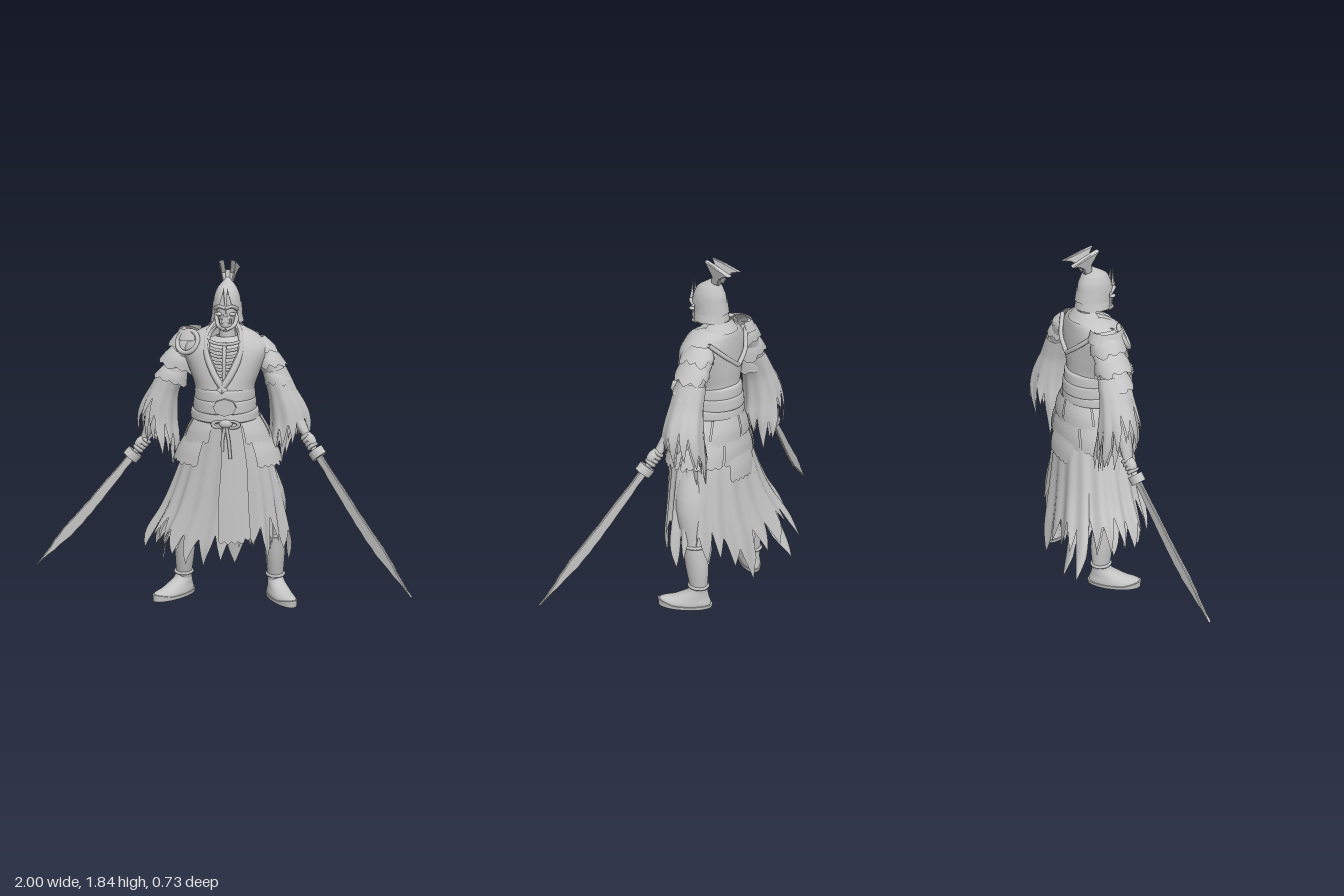
import * as THREE from 'three';
import { mergeVertices } from 'three/addons/utils/BufferGeometryUtils.js';

const gray = new THREE.MeshStandardMaterial({ color: 0xc4c4c4, side: THREE.DoubleSide });
gray.name = 'stone gray';
const V = (x, y, z) => new THREE.Vector3(x, y, z);
const TAU = Math.PI * 2;

function seeded(seed) {
  let s = seed * 7919 + 13;
  return () => ((s = (s * 16807) % 2147483647) / 2147483647);
}

function mesh(parent, name, geometry) {
  const m = new THREE.Mesh(geometry, gray);
  m.name = name;
  parent.add(m);
  return m;
}

// Surface through rings [x, y, z, rx, rz, slope]; angle 0 is the front, +90 degrees is +x.
// teeth and jag tear the lower edge, fold makes pleats, gap opens the front.
function loft(keys, o = {}) {
  const { n = 28, rows = 14, a0 = 0, a1 = TAU, teeth = 0, jag = 0, fold = 0, pleats = 16, seed = 1, len = () => 1, gap = () => 0, warp } = o;
  const rnd = seeded(seed);
  const cuts = Array.from({ length: teeth + 1 }, rnd);
  const mid = new THREE.CatmullRomCurve3(keys.map(k => V(k[0], k[1], k[2])));
  const rad = new THREE.CatmullRomCurve3(keys.map(k => V(k[3], k[4], k[5] || 0)));
  const pos = [], idx = [];
  for (let j = 0; j <= rows; j++) for (let i = 0; i <= n; i++) {
    const u = i / n, base = a0 + (a1 - a0) * u;
    let L = len(base);
    if (teeth) {
      const f = (u * teeth) % 1, k = Math.floor(u * teeth) % teeth;
      L -= jag * (0.45 * Math.abs(2 * f - 1) + 0.55 * cuts[k]);
    }
    const t = Math.max(0, Math.min(1, L * j / rows));
    const g = gap(t), a = g + base * (1 - g / Math.PI);
    const c = mid.getPoint(t), r = rad.getPoint(t);
    const w = 1 + fold * t * (Math.cos(a * pleats) + 0.5 * Math.sin(a * pleats * 0.5 + 1));
    const p = V(c.x + r.x * w * Math.sin(a), c.y + r.z * r.x * Math.sin(a), c.z + r.y * w * Math.cos(a));
    if (warp) warp(p, a, t);
    pos.push(p.x, p.y, p.z);
    if (i < n && j < rows) {
      const A = j * (n + 1) + i, B = A + n + 1;
      idx.push(A, B, A + 1, A + 1, B, B + 1);
    }
  }
  let geo = new THREE.BufferGeometry();
  geo.setAttribute('position', new THREE.Float32BufferAttribute(pos, 3));
  geo.setIndex(idx);
  geo = mergeVertices(geo, 1e-5);
  geo.computeVertexNormals();
  return geo;
}

const tube = (pts, r, seg = 16) => new THREE.TubeGeometry(new THREE.CatmullRomCurve3(pts.map(p => V(...p))), seg, r, 7);

function plate(points, depth, bevel) {
  const s = new THREE.Shape(points.map(p => new THREE.Vector2(...p)));
  const g = new THREE.ExtrudeGeometry(s, { depth, bevelEnabled: true, bevelThickness: bevel, bevelSize: bevel, bevelOffset: -bevel, bevelSegments: 1 });
  return g.translate(0, 0, -depth / 2);
}

function ball(parent, name, p, s) {
  const m = mesh(parent, name, new THREE.SphereGeometry(1, 16, 12));
  m.position.set(...p);
  m.scale.set(...s);
}

function sword(parent, name, guard, tip) {
  const g = new THREE.Group();
  g.name = name;
  const d = tip.clone().sub(guard), L = d.length();
  d.normalize();
  const n = d.clone().cross(V(0, 1, 0)).normalize();
  g.quaternion.setFromRotationMatrix(new THREE.Matrix4().makeBasis(d.clone().cross(n), d, n));
  g.position.copy(guard);
  // Nicked blade, widest past the middle
  const edge = [], spine = [], rnd = seeded(5);
  for (let i = 0; i <= 18; i++) {
    const t = i / 19, bow = 0.012 * Math.sin(t * Math.PI);
    const w = (0.021 + 0.013 * Math.sin(t * 2.3)) * Math.min(1, (1 - t) * 3 + 0.08);
    edge.push([bow + w - rnd() * 0.005, t * L]);
    spine.unshift([bow - w + rnd() * 0.005, t * L]);
  }
  mesh(g, 'blade', plate([...edge, [0, L], ...spine], 0.008, 0.004));
  mesh(g, 'guard', new THREE.CylinderGeometry(0.046, 0.046, 0.045, 12).scale(1, 1, 0.75));
  mesh(g, 'hilt', new THREE.CylinderGeometry(0.017, 0.017, 0.21, 10).translate(0, -0.1, 0));
  // Fist around the hilt
  for (let i = 0; i < 4; i++)
    mesh(g, 'finger', new THREE.TorusGeometry(0.023, 0.011, 6, 14).rotateX(Math.PI / 2).translate(0, -0.045 - i * 0.021, 0));
  ball(g, 'palm', [-0.01, -0.08, 0], [0.03, 0.045, 0.028]);
  parent.add(g);
}

function head(model) {
  const g = new THREE.Group();
  g.name = 'head';
  g.position.set(0.03, 0, 0);
  // Skull
  mesh(g, 'skull', loft([[0, 1.66, 0, 0.05, 0.07], [0, 1.6, 0.01, 0.056, 0.085], [0, 1.555, 0.02, 0.045, 0.08], [0, 1.51, 0.045, 0.032, 0.06], [0, 1.485, 0.055, 0.005, 0.01]]));
  for (const s of [-1, 1]) {
    ball(g, 'cheekbone', [s * 0.034, 1.575, 0.083], [0.018, 0.01, 0.018]);
    mesh(g, 'browRidge', tube([[0, 1.607, 0.105], [s * 0.03, 1.617, 0.098], [s * 0.058, 1.6, 0.06]], 0.01));
    mesh(g, 'jaw', tube([[s * 0.052, 1.57, 0.02], [s * 0.045, 1.52, 0.05], [0, 1.496, 0.105]], 0.011));
  }
  mesh(g, 'nose', new THREE.ConeGeometry(0.012, 0.04, 5).translate(0, 1.585, 0.098));
  for (let i = -3; i <= 3; i++)
    mesh(g, 'tooth', new THREE.BoxGeometry(0.007, 0.022, 0.008).translate(i * 0.009, 1.54, 0.1 - i * i * 0.0016));
  // Helmet bowl with neck guard
  mesh(g, 'helmetBowl', loft([[0, 1.75, -0.03, 0.006, 0.008], [0, 1.735, -0.025, 0.02, 0.03], [0, 1.7, -0.004, 0.05, 0.068], [0, 1.66, 0, 0.066, 0.088], [0, 1.61, 0.003, 0.073, 0.097]]));
  for (let i = 0; i < 2; i++)
    mesh(g, 'neckGuard', loft([[0, 1.63 - i * 0.045, -0.005, 0.074, 0.09], [0, 1.565 - i * 0.04, -0.01, 0.08 + i * 0.007, 0.095]], { a0: 0.85, a1: TAU - 0.85, rows: 4, teeth: 9, jag: 0.15 }));
  // Crescent brow ornament
  for (const s of [-1, 1])
    mesh(g, 'browHorn', new THREE.ConeGeometry(0.014, 0.11, 6).scale(1.3, 1, 0.7).rotateZ(s * 0.12).translate(s * 0.014, 1.66, 0.1));
  // Split crest swept backwards
  mesh(g, 'crestStem', new THREE.CylinderGeometry(0.014, 0.024, 0.07, 10).rotateX(-0.1).translate(0, 1.75, -0.045));
  for (const s of [-1, 1]) {
    const fan = mesh(g, 'crestFan', plate([[-0.025, 0], [-0.035, 0.05], [0, 0.12], [-0.06, 0.105], [-0.16, 0.07], [-0.12, 0.058], [-0.085, 0.035], [-0.07, 0]], 0.016, 0.005).rotateY(-Math.PI / 2));
    fan.position.set(s * 0.006, 1.722, 0);
    fan.rotation.set(0, -s * 0.16, -s * 0.2);
  }
  model.add(g);
}

function torso(model) {
  const g = new THREE.Group();
  g.name = 'torso';
  mesh(g, 'neck', new THREE.CylinderGeometry(0.035, 0.045, 0.16, 12).translate(0.03, 1.49, -0.01));
  mesh(g, 'innerBody', loft([[0.02, 1.45, -0.02, 0.05, 0.06], [0.02, 1.4, -0.01, 0.14, 0.09], [0.02, 1.25, 0, 0.13, 0.1], [0.02, 1, 0, 0.13, 0.12]]));
  mesh(g, 'breastbone', tube([[0.025, 1.43, 0.09], [0.025, 1.35, 0.125], [0.025, 1.24, 0.135]], 0.011));
  for (let i = 0; i < 6; i++) for (const s of [-1, 1]) {
    const y = 1.42 - i * 0.032;
    mesh(g, 'rib', tube([[0.025, y, 0.1 + i * 0.006], [0.025 + s * 0.05, y + 0.008, 0.1 + i * 0.006], [0.025 + s * 0.1, y + 0.02, 0.06]], 0.009, 8));
  }
  // Robe open in a deep V
  mesh(g, 'robe', loft([[0.02, 1.51, -0.04, 0.06, 0.065], [0.02, 1.465, -0.025, 0.16, 0.11], [0.02, 1.39, -0.01, 0.22, 0.135], [0.02, 1.28, 0.005, 0.185, 0.155], [0.02, 1.18, 0.015, 0.155, 0.165], [0.02, 1.03, 0.015, 0.165, 0.175]], { n: 48, rows: 24, gap: t => Math.max(0, 0.75 * (1 - t / 0.72)) }));
  for (const s of [-1, 1]) {
    mesh(g, 'lapel', tube([[0.02 + s * 0.05, 1.51, -0.05], [0.02 + s * 0.085, 1.46, 0.05], [0.02 + s * 0.085, 1.38, 0.105], [0.02 + s * 0.045, 1.28, 0.155], [0.02 - s * 0.015, 1.19, 0.18]], 0.018));
    mesh(g, 'backStrap', tube([[0.02 + s * 0.16, 1.45, -0.1], [0.02 + s * 0.08, 1.37, -0.155], [0.02, 1.31, -0.17]], 0.012));
  }
  mesh(g, 'backCollar', loft([[0.02, 1.53, -0.05, 0.07, 0.055], [0.02, 1.48, -0.04, 0.11, 0.1]], { a0: 1.4, a1: TAU - 1.4, rows: 4 }));
  // Waist bands, buckle and knot
  [[1.2, 0.07, 0.155, 0.175], [1.145, 0.075, 0.162, 0.185], [1.085, 0.06, 0.176, 0.182]].forEach(([y, h, rx, rz]) =>
    mesh(g, 'waistBand', loft([[0.02, y, 0.012, rx - 0.012, rz - 0.012], [0.02, y - 0.012, 0.012, rx, rz], [0.02, y - h + 0.01, 0.012, rx + 0.004, rz + 0.004], [0.02, y - h, 0.012, rx - 0.012, rz - 0.012]], { n: 40 })));
  mesh(g, 'buckle', new THREE.CylinderGeometry(0.06, 0.06, 0.025, 8).rotateX(Math.PI / 2).scale(1, 0.75, 1).translate(0.035, 1.115, 0.195));
  ball(g, 'knot', [0.04, 1.03, 0.2], [0.035, 0.022, 0.02]);
  for (const s of [-1, 1]) {
    mesh(g, 'knotLoop', new THREE.TorusGeometry(0.022, 0.008, 6, 14).scale(1.4, 0.8, 1).translate(0.04 + s * 0.035, 1.025, 0.198));
    mesh(g, 'tassel', tube([[0.04, 1.03, 0.2], [0.04 + s * 0.015, 0.95, 0.205], [0.045 + s * 0.02, 0.87 - s * 0.02, 0.208]], 0.009));
  }
  model.add(g);
}

function skirts(model) {
  const g = new THREE.Group();
  g.name = 'skirts';
  // Right rear hem is blown outward
  const blown = (p, a, t) => {
    const k = Math.max(0, Math.cos(a - 3.75)) ** 4 * t * t;
    p.z -= 0.15 * k;
    p.x -= 0.07 * k;
  };
  const skirt = k => [[0.03, 1.03, 0.005, 0.16 * k, 0.165 * k], [0.03, 0.8, -0.01, 0.24 * k, 0.185 * k], [0.01, 0.55, -0.02, 0.315 * k, 0.2 * k], [-0.03, 0.33, -0.03, 0.39 * k, 0.225 * k], [-0.03, 0.1, -0.04, 0.4 * k, 0.24 * k]];
  const len = a => 1 - 0.1 * Math.sin(a) ** 2 - 0.17 * Math.max(0, Math.cos(a)) ** 2;
  mesh(g, 'outerSkirt', loft(skirt(1), { n: 216, rows: 22, teeth: 27, jag: 0.36, fold: 0.06, pleats: 18, seed: 3, len, warp: blown }));
  mesh(g, 'innerSkirt', loft(skirt(0.8), { n: 176, rows: 20, teeth: 22, jag: 0.36, fold: 0.07, pleats: 14, seed: 8, len, warp: blown }));
  mesh(g, 'frontApron', loft([[0.03, 1.03, 0.01, 0.17, 0.18], [0.03, 0.8, 0, 0.24, 0.2], [0.02, 0.6, 0, 0.28, 0.212], [0.02, 0.39, 0, 0.31, 0.22]], { a0: -0.06, a1: 0.52, teeth: 5, jag: 0.06, seed: 2 }));
  // Overlapping hip plates, split into panels
  const panels = (name, count, y0, y1, r0, r1, z0, z1, start, end, seed) => {
    for (let i = 0; i < count; i++) {
      const w = (end - start) / count;
      mesh(g, name, loft([[0.035, y0, -0.005, r0, z0], [0.035, (y0 + y1) / 2, -0.005, (r0 + r1) / 2 + 0.008, (z0 + z1) / 2 + 0.006], [0.035, y1, -0.005, r1, z1]], { n: 30, rows: 8, a0: start + i * w + 0.02, a1: start + (i + 1) * w - 0.02, teeth: 6, jag: 0.2, seed: seed + i }));
    }
  };
  panels('upperHipPlate', 6, 1.04, 0.9, 0.172, 0.24, 0.17, 0.19, 0.45, TAU - 0.35, 11);
  panels('lowerHipPlate', 5, 0.94, 0.78, 0.22, 0.295, 0.18, 0.2, 0.6, TAU - 0.5, 21);
  panels('rearHipPlate', 1, 0.84, 0.68, 0.25, 0.28, 0.195, 0.22, 2.75, 3.6, 31);
  model.add(g);
}

function arm(model, s, name, shoulder, elbow, wrist) {
  const g = new THREE.Group();
  g.name = name;
  const [sx, sy, sz] = shoulder, [ex, ey, ez] = elbow, [wx, wy, wz] = wrist;
  mesh(g, 'upperArm', loft([[sx - s * 0.05, sy + 0.06, sz, 0.01, 0.01], [sx, sy, sz, 0.07, 0.085], [(sx + ex) / 2, (sy + ey) / 2, (sz + ez) / 2, 0.058, 0.07], [ex, ey, ez, 0.045, 0.05]]));
  mesh(g, 'forearm', loft([[ex, ey + 0.03, ez, 0.042, 0.047], [(ex + wx) / 2, (ey + wy) / 2, (ez + wz) / 2, 0.036, 0.04], [wx, wy, wz, 0.022, 0.024]]));
  // Torn sleeve, longer on the inner side
  for (let i = 0; i < 2; i++) {
    const k = 1 - 0.25 * i;
    mesh(g, 'sleeve', loft([[sx + s * 0.07, 1.27, sz - 0.01, 0.06 * k, 0.08 * k, s * 0.3], [ex - s * 0.01, 1.15, ez, 0.072 * k, 0.09 * k, s * 0.3], [ex + s * 0.03, 1, ez - 0.01, 0.105 * k, 0.11 * k, s * 0.2], [ex + s * 0.015, 0.84, ez - 0.01, 0.095 * k, 0.12 * k], [ex - s * 0.01, 0.68, ez - 0.02, 0.06 * k, 0.1 * k]], { n: 104, rows: 16, teeth: 13, jag: 0.46, fold: 0.07, pleats: 9, seed: 40 + i + s, len: a => 0.86 - s * 0.18 * Math.sin(a) }));
  }
  // Flared shoulder lames, plated on the right and torn cloth on the left
  const armored = s < 0, wide = armored ? 1 : 0.86, tilt = s * (armored ? 0.35 : 0.15);
  [[0, armored ? 1.475 : 1.44, 1.35, 0.045, 0.092], [0.045, 1.38, 1.265, 0.055, 0.095], [0.08, 1.29, 1.19, 0.05, 0.085]].forEach(([dx, y0, y1, r0, r1], i) =>
    mesh(g, 'shoulderLame', loft([[sx + s * (dx - 0.025), y0, sz, r0, r0 * 1.1, tilt], [sx + s * dx, (y0 + y1) / 2, sz, r1 * 0.84 * wide, r1 * 0.93, tilt], [sx + s * (dx + 0.022), y1, sz, r1 * 1.06 * wide, r1, tilt]], { n: 72, rows: 8, teeth: 9, jag: armored ? 0.25 : 0.4, seed: 60 + i * 2 + s })));
  model.add(g);
  return g;
}

function leg(model, name, knee, ankle, yaw) {
  const g = new THREE.Group();
  g.name = name;
  const s = Math.sign(knee);
  mesh(g, 'leg', loft([[s * 0.12 + 0.02, 0.85, -0.01, 0.1, 0.1], [knee * 0.9, 0.6, -0.04, 0.085, 0.09], [knee, 0.38, -0.075, 0.058, 0.065], [(knee + ankle) / 2, 0.25, -0.095, 0.054, 0.066], [ankle, 0.1, -0.11, 0.04, 0.045]]));
  for (const [y, r, z] of [[0.37, 0.06, -0.077], [0.13, 0.046, -0.108]])
    mesh(g, 'legWrap', new THREE.TorusGeometry(r, 0.009, 6, 20).rotateX(Math.PI / 2).scale(1, 1, 1.1).translate(y > 0.3 ? knee : ankle, y, z));
  // Turned-up shoe with sole
  const shoe = new THREE.Group();
  shoe.name = 'shoe';
  const lift = p => { if (p.z > 0.13) p.y += (p.z - 0.13) * 0.25; };
  mesh(shoe, 'upper', loft([[0, 0.13, 0, 0.038, 0.042], [0, 0.095, 0.008, 0.043, 0.056], [0, 0.06, 0.042, 0.05, 0.098], [0, 0.025, 0.072, 0.057, 0.138], [0, 0.012, 0.073, 0.055, 0.138]], { warp: lift }));
  mesh(shoe, 'sole', loft([[0, 0.022, 0.073, 0.05, 0.135], [0, 0.02, 0.073, 0.06, 0.147], [0, 0.001, 0.073, 0.058, 0.143], [0, 0, 0.073, 0.001, 0.001]], { warp: p => { if (p.y > 0.01) lift(p); } }));
  shoe.position.set(ankle, 0, -0.11);
  shoe.rotation.y = yaw;
  g.add(shoe);
  model.add(g);
}

export function createModel() {
  const model = new THREE.Group();
  model.name = 'undeadWarrior';
  head(model);
  torso(model);
  skirts(model);
  const right = arm(model, -1, 'rightArm', [-0.175, 1.39, -0.05], [-0.315, 1.15, -0.07], [-0.42, 0.87, -0.075]);
  const left = arm(model, 1, 'leftArm', [0.2, 1.375, -0.05], [0.325, 1.15, -0.06], [0.45, 0.93, 0.02]);
  // Raised ring plate on the right shoulder
  const ring = mesh(right, 'shoulderRing', new THREE.TorusGeometry(0.06, 0.013, 8, 20));
  ring.position.set(-0.17, 1.425, 0.05);
  ring.rotation.set(-0.5, -0.4, 0);
  mesh(right, 'collarGuard', loft([[-0.15, 1.485, -0.04, 0.07, 0.08], [-0.16, 1.43, -0.04, 0.085, 0.1]], { rows: 4, a0: 2.6, a1: 6.6 }));
  sword(right, 'rightSword', V(-0.48, 0.79, -0.06), V(-1, 0.19, 0.05));
  sword(left, 'leftSword', V(0.505, 0.85, 0.06), V(1, 0.19, 0.37));
  leg(model, 'rightLeg', -0.2, -0.215, -0.72);
  leg(model, 'leftLeg', 0.28, 0.285, 0.52);
  return model;
}
